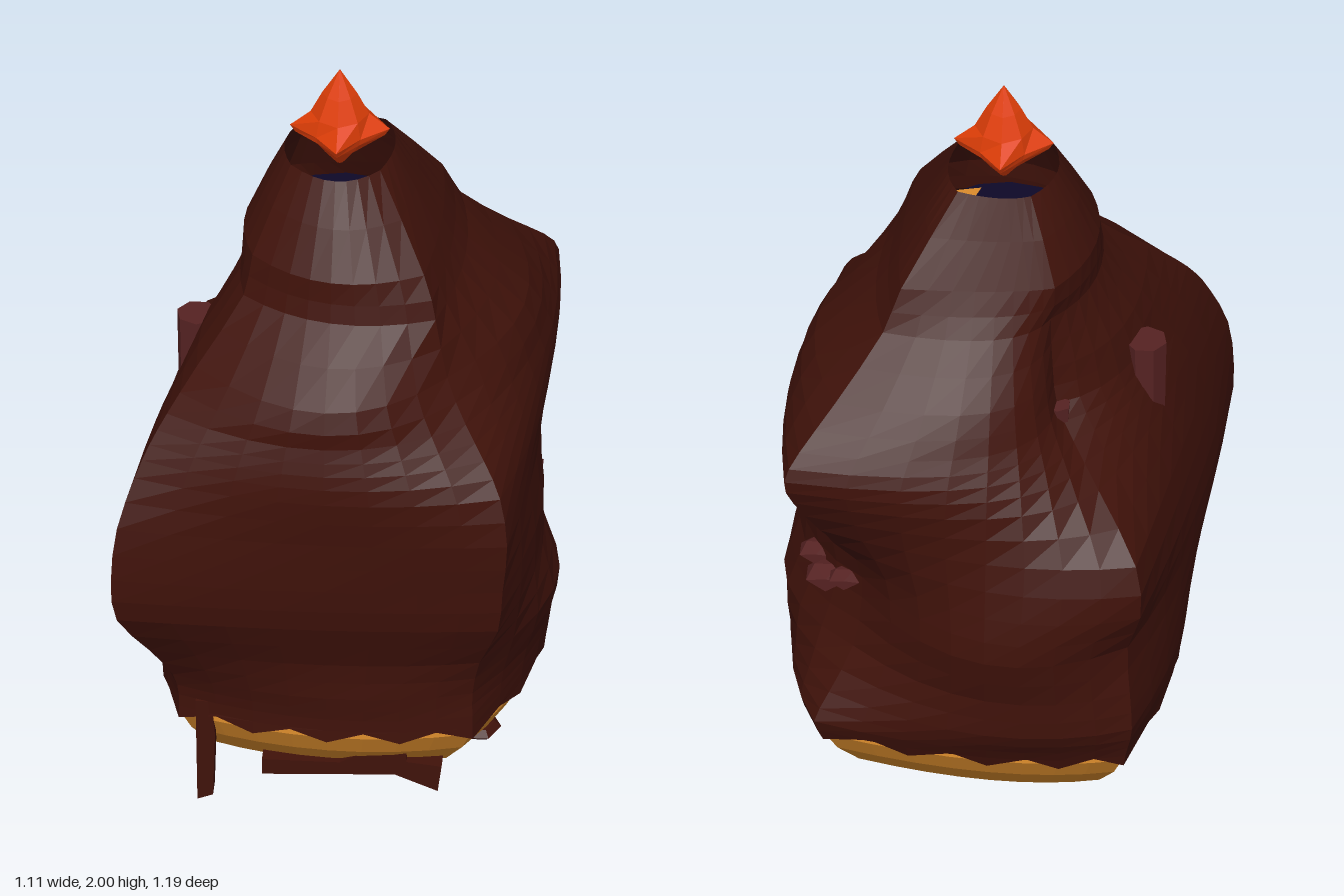
import * as THREE from 'three';

const mat = (color) => new THREE.MeshStandardMaterial({ color, flatShading: true, side: THREE.DoubleSide });
const V2 = (x, y) => new THREE.Vector2(x, y);

// Closed rings of [x, y, z] points, listed bottom to top, joined into a skin
function loft(rings) {
  const n = rings[0].length, index = [];
  for (let i = 0; i < rings.length - 1; i++)
    for (let j = 0; j < n; j++) {
      const k = (j + 1) % n, a = i * n + j, b = i * n + k;
      index.push(a, b, b + n, a, b + n, a + n);
    }
  const g = new THREE.BufferGeometry();
  g.setAttribute('position', new THREE.Float32BufferAttribute(rings.flat(2), 3));
  g.setIndex(index);
  g.computeVertexNormals();
  return g;
}

// Rounded four-cornered section: corner reaches alternate with side reaches
function section([y, c1, right, c2, back, c3, left, c4, front], steps = 8) {
  const corners = [V2(0.65 * c1, 0.764 * c1), V2(0.71 * c2, -0.7 * c2), V2(-0.6 * c3, -0.81 * c3), V2(-0.7 * c4, 0.715 * c4)];
  const mids = [V2(right, 0), V2(0, -back), V2(-left, 0), V2(0, front)];
  const ring = [];
  corners.forEach((a, s) => {
    const b = corners[(s + 1) % 4];
    const ctrl = mids[s].clone().multiplyScalar(2).sub(a.clone().add(b).multiplyScalar(0.5));
    const curve = new THREE.QuadraticBezierCurve(a, ctrl, b);
    for (let i = 0; i < steps; i++) {
      const p = curve.getPoint(i / steps);
      ring.push([p.x, y, p.y]);
    }
  });
  return ring;
}

// height, then corner and side reaches going round from front +x
const LEVELS = [
  [0.24, 0.57, 0.52, 0.60, 0.50, 0.58, 0.45, 0.55, 0.48],
  [0.30, 0.57, 0.53, 0.63, 0.53, 0.60, 0.46, 0.55, 0.48],
  [0.37, 0.57, 0.54, 0.58, 0.56, 0.62, 0.47, 0.57, 0.49],
  [0.48, 0.60, 0.56, 0.50, 0.56, 0.61, 0.48, 0.65, 0.50],
  [0.62, 0.68, 0.52, 0.47, 0.59, 0.60, 0.49, 0.76, 0.55],
  [0.75, 0.70, 0.52, 0.49, 0.57, 0.66, 0.49, 0.78, 0.57],
  [0.90, 0.72, 0.51, 0.61, 0.54, 0.64, 0.46, 0.76, 0.58],
  [1.03, 0.69, 0.53, 0.70, 0.52, 0.46, 0.41, 0.70, 0.59],
  [1.11, 0.62, 0.53, 0.73, 0.49, 0.34, 0.37, 0.65, 0.58],
  [1.18, 0.54, 0.51, 0.68, 0.45, 0.26, 0.34, 0.59, 0.56],
  [1.28, 0.46, 0.47, 0.56, 0.40, 0.24, 0.31, 0.49, 0.54],
  [1.43, 0.41, 0.32, 0.40, 0.29, 0.23, 0.24, 0.33, 0.35],
  [1.54, 0.36, 0.26, 0.34, 0.23, 0.25, 0.24, 0.30, 0.33],
  [1.76, 0.17, 0.14, 0.15, 0.125, 0.135, 0.14, 0.17, 0.19],
];

// Smooth in-between levels
function refine(levels) {
  const out = [];
  for (let i = 0; i < levels.length - 1; i++) {
    const [p, a, b, q] = [levels[Math.max(i - 1, 0)], levels[i], levels[i + 1], levels[Math.min(i + 2, levels.length - 1)]];
    out.push(a, a.map((v, k) => (9 * (v + b[k]) - p[k] - q[k]) / 16));
  }
  return [...out, levels[levels.length - 1]];
}

export function createModel() {
  const model = new THREE.Group();
  const brown = mat(0x40120a), cake = mat(0xdb8c2c), flame = mat(0xe03e08), navy = mat(0x0e0828), knob = mat(0x562222);
  const add = (name, geometry, material, x = 0, y = 0, z = 0) => {
    const m = new THREE.Mesh(geometry, material);
    m.name = name;
    m.position.set(x, y, z);
    model.add(m);
    return m;
  };

  // Coating with a ragged hem and open top
  const rings = refine(LEVELS).map((l) => section(l));
  rings[0].forEach((p, j) => { p[1] += j % 2 ? 0.02 : -0.01; });
  add('coating', loft(rings), brown);

  // Rounded underside
  const hem = section(LEVELS[0]);
  const bowl = [[0.025, 0.01], [0.03, 0.45], [0.06, 0.64], [0.11, 0.8], [0.18, 0.92], [0.24, 0.985], [0.3, 0.98]];
  add('underside', loft(bowl.map(([y, s]) => hem.map(([x, , z]) => [x * s, y, z * s]))), cake);

  // Filling seen through the top opening
  add('filling', new THREE.CircleGeometry(0.21, 16).rotateX(-Math.PI / 2), navy, 0, 1.54, 0.03);
  const patch = new THREE.Shape([V2(0.15, 0.02), V2(0.1, -0.03), V2(0.06, -0.1), V2(0.09, -0.13), V2(0.07, -0.19), V2(0.15, -0.17)]);
  add('fillingPatch', new THREE.ShapeGeometry(patch).rotateX(-Math.PI / 2), cake, 0, 1.555, 0);

  // Four-pointed finial
  const star = [[1.72, 0.01, 0.01], [1.77, 0.05, 0.05], [1.805, 0.115, 0.075], [1.825, 0.128, 0.08], [1.87, 0.075, 0.07], [1.93, 0.045, 0.042], [2, 0.001, 0.001]];
  add('finial', loft(star.map(([y, arm, gap]) => Array.from({ length: 8 }, (_, i) => {
    const r = i % 2 ? gap : arm, a = (-i * Math.PI) / 4;
    return [r * Math.cos(a), y, r * Math.sin(a)];
  }))), flame, 0, 0, 0.035);

  // Drips hanging below the hem
  const slab = (name, pts, depth, z) =>
    add(name, new THREE.ExtrudeGeometry(new THREE.Shape(pts.map((p) => V2(...p))), { depth, bevelEnabled: false }), brown, 0, 0, z);
  slab('cornerDrip', [[-0.335, 0], [-0.295, 0.015], [-0.29, 0.2], [-0.3, 0.3], [-0.34, 0.3]], 0.06, 0.36);
  slab('frontDrip', [[-0.17, 0.085], [0.17, 0.1], [0.28, 0.055], [0.29, 0.13], [0.2, 0.14], [0.2, 0.27], [0.12, 0.18], [0.03, 0.13], [-0.17, 0.13]], 0.06, 0.36);

  // Flat spots on the underside
  for (const [x, y, z] of [[0.37, 0.115, 0.2], [0.28, 0.065, -0.15]])
    add('undersideSpot', new THREE.SphereGeometry(0.07, 6, 4).scale(0.8, 0.3, 1), brown, x, y, z);

  // Knobs on the back and side
  add('largeKnob', new THREE.CylinderGeometry(0.055, 0.05, 0.25, 7), knob, -0.365, 1.1, 0.02);
  add('smallKnob', new THREE.CylinderGeometry(0.033, 0.025, 0.13, 6), knob, -0.16, 1.12, -0.22);

  // Crumbs in the hollow corner
  for (const [x, y, z, s] of [[0.46, 0.66, -0.19, 0.05], [0.43, 0.63, -0.25, 0.06], [0.38, 0.66, -0.3, 0.045]])
    add('crumb', new THREE.IcosahedronGeometry(s, 0).scale(1, 0.6, 1), knob, x, y, z);
  return model;
}
